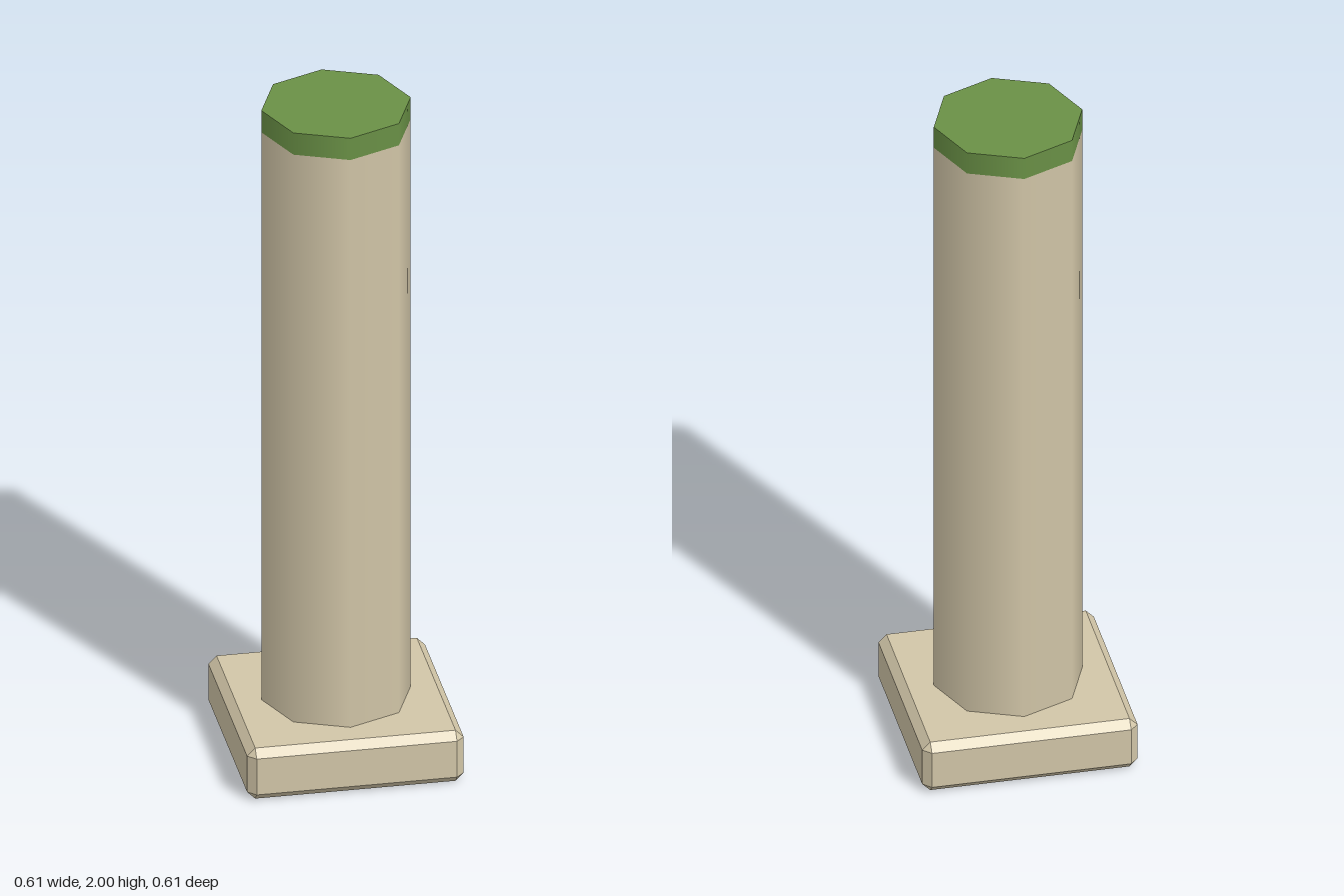
import * as THREE from 'three';
import { ConvexGeometry } from 'three/addons/geometries/ConvexGeometry.js';

const SIDES = 8;
const RADIUS = 0.211;

// Box with every edge chamfered: three corner points per octant
function chamferedBox(w, h, d, c) {
  const points = [];
  for (const sx of [-1, 1]) for (const sy of [-1, 1]) for (const sz of [-1, 1]) {
    const x = w / 2, y = h / 2, z = d / 2;
    points.push(
      new THREE.Vector3(sx * x, sy * (y - c), sz * (z - c)),
      new THREE.Vector3(sx * (x - c), sy * y, sz * (z - c)),
      new THREE.Vector3(sx * (x - c), sy * (y - c), sz * z)
    );
  }
  return new ConvexGeometry(points);
}

export function createModel() {
  const stone = new THREE.MeshStandardMaterial({ color: 0xd2c6a8 });
  stone.name = 'stone';
  const green = new THREE.MeshStandardMaterial({ color: 0x6a9146 });
  green.name = 'green';

  const model = new THREE.Group();
  model.name = 'column';

  function add(name, geometry, material, y) {
    const mesh = new THREE.Mesh(geometry, material);
    mesh.name = name;
    mesh.position.y = y;
    model.add(mesh);
  }

  // Octagonal drum between two heights, smooth round the side
  function drum(name, bottom, top, material) {
    const geometry = new THREE.CylinderGeometry(RADIUS, RADIUS, top - bottom, SIDES);
    add(name, geometry, material, (bottom + top) / 2);
  }

  // Square base
  add('plinth', chamferedBox(0.612, 0.158, 0.612, 0.023), stone, 0.079);

  // Shaft and coloured top
  drum('shaft', 0.15, 1.932, stone);
  drum('cap', 1.932, 2, green);

  return model;
}
